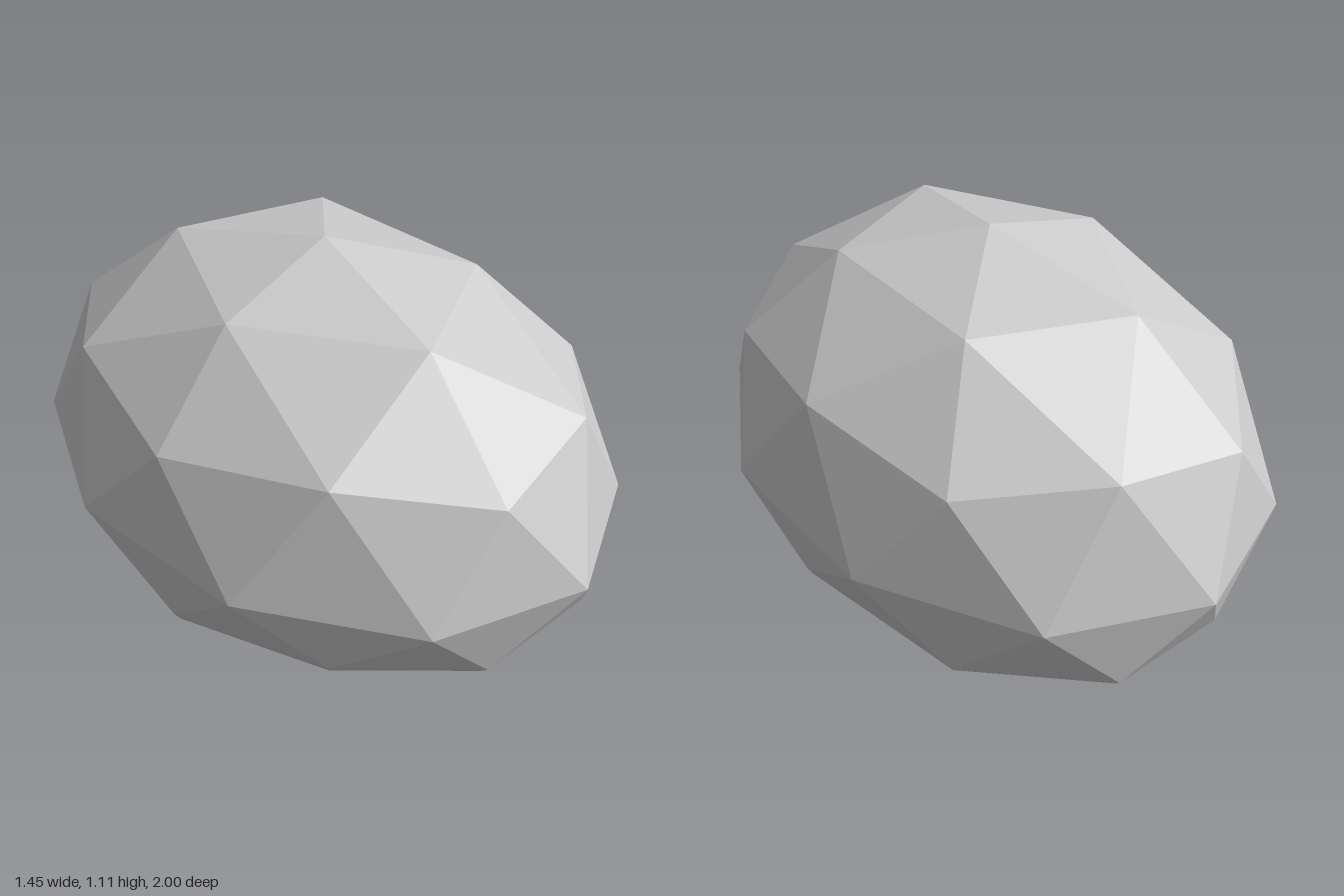
import * as THREE from 'three';

const SX = 0.764, SY = 0.745, CY = 0.362;

// Point on the squashed dome: angle step (36 degrees each), radius and height
function point(step, r, y) {
  const a = Math.PI + step * Math.PI / 5;
  return new THREE.Vector3(SX * r * Math.cos(a), y, r * Math.sin(a));
}
const ring = (n, fn) => Array.from({ length: n }, (_, i) => fn(i));

// Zigzag band between two ten-point rings
function band(upper, lower, shift = 0) {
  const tris = [];
  for (let j = 0; j < 10; j++) {
    const k = (j + 1) % 10, a = (j + shift) % 10, b = (j + shift + 1) % 10;
    tris.push([upper[j], upper[k], lower[a]], [upper[k], lower[b], lower[a]]);
  }
  return tris;
}

// Upper half of a once-subdivided icosahedron, carried on down to the hem
function dome(hem) {
  const h = (y) => CY + SY * y;
  const top = point(0, 0, h(1));
  const crown = ring(5, (k) => point(2 * k, 0.526, h(0.851)));
  const upper = ring(10, (j) => (j % 2 ? point(j, 0.851, h(0.526)) : point(j, 0.894, h(0.447))));
  const equator = ring(10, (j) => point(j + 0.5, 1, CY));
  const tris = [];
  for (let k = 0; k < 5; k++) {
    const c = crown[k], next = crown[(k + 1) % 5];
    const before = upper[(2 * k + 9) % 10], mid = upper[2 * k], after = upper[2 * k + 1];
    tris.push([top, next, c], [c, mid, before], [c, after, mid], [c, next, after]);
  }
  return [...tris, ...band(upper, equator), ...band(equator, hem, 1)];
}

// Shallow hollow underneath, rising evenly from the rim to a low centre
function hollow(edge) {
  const centre = point(0, 0, 0.35);
  const ceiling = edge.map((p) => {
    const q = p.clone().lerp(centre, 0.5);
    q.y += 0.015;
    return q;
  });
  return [...band(edge, ceiling), ...ceiling.map((p, j) => [p, ceiling[(j + 1) % 10], centre])];
}

function makeMesh(name, tris) {
  const geometry = new THREE.BufferGeometry().setFromPoints(tris.flat());
  geometry.computeVertexNormals();
  const mesh = new THREE.Mesh(geometry, new THREE.MeshStandardMaterial({ color: 0xcccccc, flatShading: true }));
  mesh.name = name;
  return mesh;
}

export function createModel() {
  const group = new THREE.Group();
  group.name = 'domedShell';

  // Uneven hem heights around the opening: outer edge, lip and foot
  const outerY = [0.08, 0.155, 0.05, 0.09, 0.06, 0.17, 0.07, 0.085, 0.08, 0.155];
  const lipY = [0.045, 0.12, 0.015, 0.06, 0.03, 0.13, 0.06, 0.055, 0.05, 0.12];
  const footY = [0.05, 0.105, 0, 0.05, 0.026, 0.12, 0.06, 0.048, 0.045, 0.105];
  const footR = (j) => (j === 0 ? 0.78 : j % 2 ? 0.85 : 0.825);
  const outerHem = outerY.map((y, j) => point(j, j % 2 ? 0.915 : 0.875, y));
  const lip = lipY.map((y, j) => point(j, j % 2 ? 0.885 : 0.845, y));
  const foot = footY.map((y, j) => point(j, footR(j), y));
  const innerHem = footY.map((y, j) => point(j, footR(j) - 0.06, y + 0.016));

  group.add(makeMesh('outerShell', dome(outerHem)));
  group.add(makeMesh('rim', [...band(outerHem, lip), ...band(lip, foot), ...band(foot, innerHem)]));
  group.add(makeMesh('underside', hollow(innerHem)));
  return group;
}
